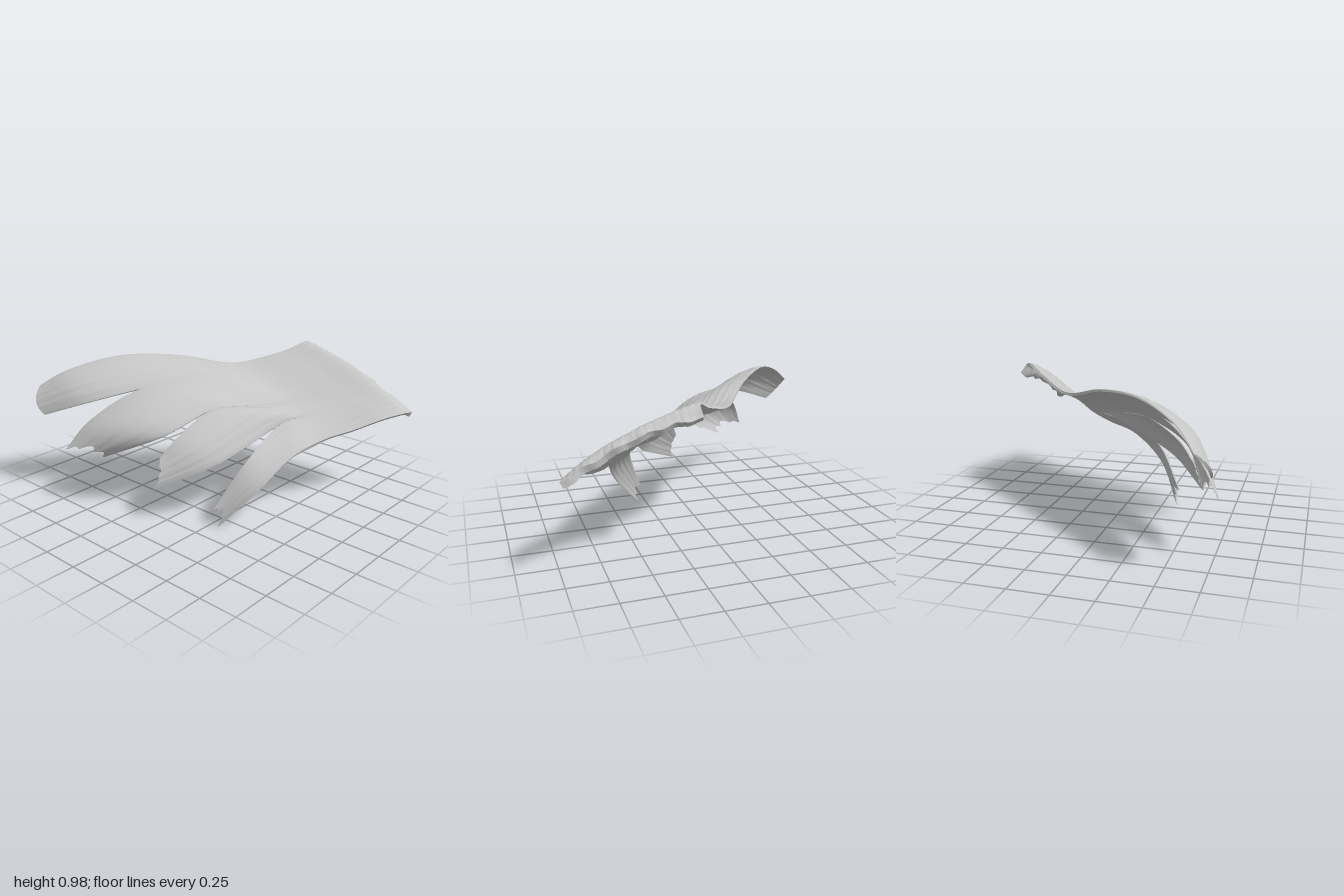
import * as THREE from 'three';
import { toCreasedNormals } from 'three/addons/utils/BufferGeometryUtils.js';

const ACROSS = 30, ALONG = 70;

// Shared seams of the sheet, listed from the thick root to where the strands part
const seamA = [[.77, .88, .42], [.70, .92, .42], [.55, .86, .31], [.30, .79, .12], [0, .84, -.08], [-.38, .785, -.33]];
const seamB = [[.77, .81, .64], [.70, .84, .62], [.55, .775, .51], [.33, .69, .37], [.10, .68, .24], [-.17, .685, .10]];
const seamC = [[.77, .72, .82], [.70, .75, .80], [.58, .71, .71], [.42, .655, .59], [.28, .615, .50], [.13, .585, .42]];
const backEdge = [[.77, .91, .20], [.70, .985, .20], [.55, .92, .09], [.30, .855, -.13], [0, .93, -.35],
  [-.30, .945, -.60], [-.56, .86, -.83], [-.71, .735, -1.0]];
const frontEdge = [[.775, .63, 1.0], [.70, .63, .97], [.58, .61, .90], [.42, .55, .78], [.25, .505, .67],
  [.02, .435, .59], [-.20, .25, .50], [-.355, 0, .31]];

// Each strand: back edge, front edge, arching, and a tip cut depth across its width
const ragged = (u) => Math.sin(Math.PI * u) * (0.02 + 0.025 * Math.abs(Math.sin(u * 9.5 + 0.4)));
const strands = [
  { name: 'backStrand', a: backEdge, b: [...seamA, [-.63, .70, -.57], [-.785, .575, -.89]], arch: 0.13,
    cut: (u) => 0.015 * (2 * u - 1) ** 2 },
  { name: 'upperMiddleStrand', a: [...seamA, [-.64, .60, -.53], [-.78, .40, -.64]],
    b: [...seamB, [-.48, .55, -.05], [-.65, .37, -.41]], arch: 0.11, cut: ragged },
  { name: 'lowerMiddleStrand', a: [...seamB, [-.40, .56, .03], [-.52, .43, -.03]],
    b: [...seamC, [-.31, .40, .265], [-.59, .24, -.02]], arch: 0.11, cut: (u) => ragged(u) * 0.4 },
  { name: 'frontStrand', a: [...seamC, [-.18, .43, .40], [-.375, .12, .285]], b: frontEdge, arch: 0.1,
    cut: (u) => ragged(u) * 0.7 },
];

const curve = (points) =>
  new THREE.CatmullRomCurve3(points.map((p) => new THREE.Vector3(...p)), false, 'catmullrom', 0.5);

// Fine fibre grooves that drift slowly along the strand
const fibres = (u, t, seed) =>
  0.0013 * Math.sin(u * 29 + t * 11 + seed) + 0.001 * Math.sin(u * 53 - t * 14 + seed * 2.3);

function strandGeometry({ a, b, arch, cut }, seed) {
  const back = curve(a), front = curve(b);
  const positions = [], index = [];
  const row = 2 * (ACROSS + 1);
  for (let i = 0; i <= ALONG; i++) {
    const top = [], under = [];
    for (let j = 0; j <= ACROSS; j++) {
      const u = j / ACROSS, t = (i / ALONG) * (1 - cut(u));
      const p0 = back.getPoint(t), p1 = front.getPoint(t);
      const across = p1.clone().sub(p0);
      const along = back.getTangent(t).lerp(front.getTangent(t), u);
      const normal = along.cross(across).normalize();
      const hump = Math.max(0, Math.sin(Math.PI * u));
      const free = THREE.MathUtils.smoothstep(t, 0.4, 0.9);
      const rise = hump ** 0.8 * across.length() * THREE.MathUtils.lerp(0.02, arch, free)
        + fibres(u, t, seed) * Math.sqrt(hump);
      const p = p0.lerp(p1, u).addScaledVector(normal, rise);
      // Lumpy, folded root rim
      const rim = 1 - THREE.MathUtils.smoothstep(t, 0, 0.12);
      p.x += rim * 0.006 * Math.sin(p.z * 48);
      p.y += rim * 0.006 * Math.sin(p.z * 37 + 1);
      // Even thickness in the joined sheet, thinner borders on the loose strands
      const border = THREE.MathUtils.lerp(1, 0.3 + 0.7 * Math.sqrt(hump), free);
      const thickness = (0.018 + 0.023 * rim) * border;
      top.push(p);
      under.push(p.clone().addScaledVector(normal, -thickness));
    }
    for (const p of [...top, ...under.reverse()]) positions.push(p.x, p.y, p.z);
  }
  // Skin around the ring of top and underside points
  for (let i = 0; i < ALONG; i++) {
    for (let j = 0; j < row; j++) {
      const k = (j + 1) % row;
      const p = i * row + j, q = i * row + k;
      index.push(p, p + row, q, q, p + row, q + row);
    }
  }
  // Root and tip caps
  const end = ALONG * row;
  for (let j = 0; j < ACROSS; j++) {
    const t0 = j, t1 = j + 1, b0 = row - 1 - j, b1 = row - 2 - j;
    index.push(t0, t1, b0, t1, b1, b0);
    index.push(end + t0, end + b0, end + t1, end + t1, end + b0, end + b1);
  }
  const geometry = new THREE.BufferGeometry();
  geometry.setAttribute('position', new THREE.Float32BufferAttribute(positions, 3));
  geometry.setIndex(index);
  return toCreasedNormals(geometry, 0.8);
}

export function createModel() {
  const group = new THREE.Group();
  group.name = 'splitSheet';
  const paleGrey = new THREE.MeshStandardMaterial({ color: 0xc6c6c6 });
  paleGrey.name = 'paleGrey';
  strands.forEach((strand, i) => {
    const mesh = new THREE.Mesh(strandGeometry(strand, i * 1.7), paleGrey);
    mesh.name = strand.name;
    group.add(mesh);
  });
  return group;
}
